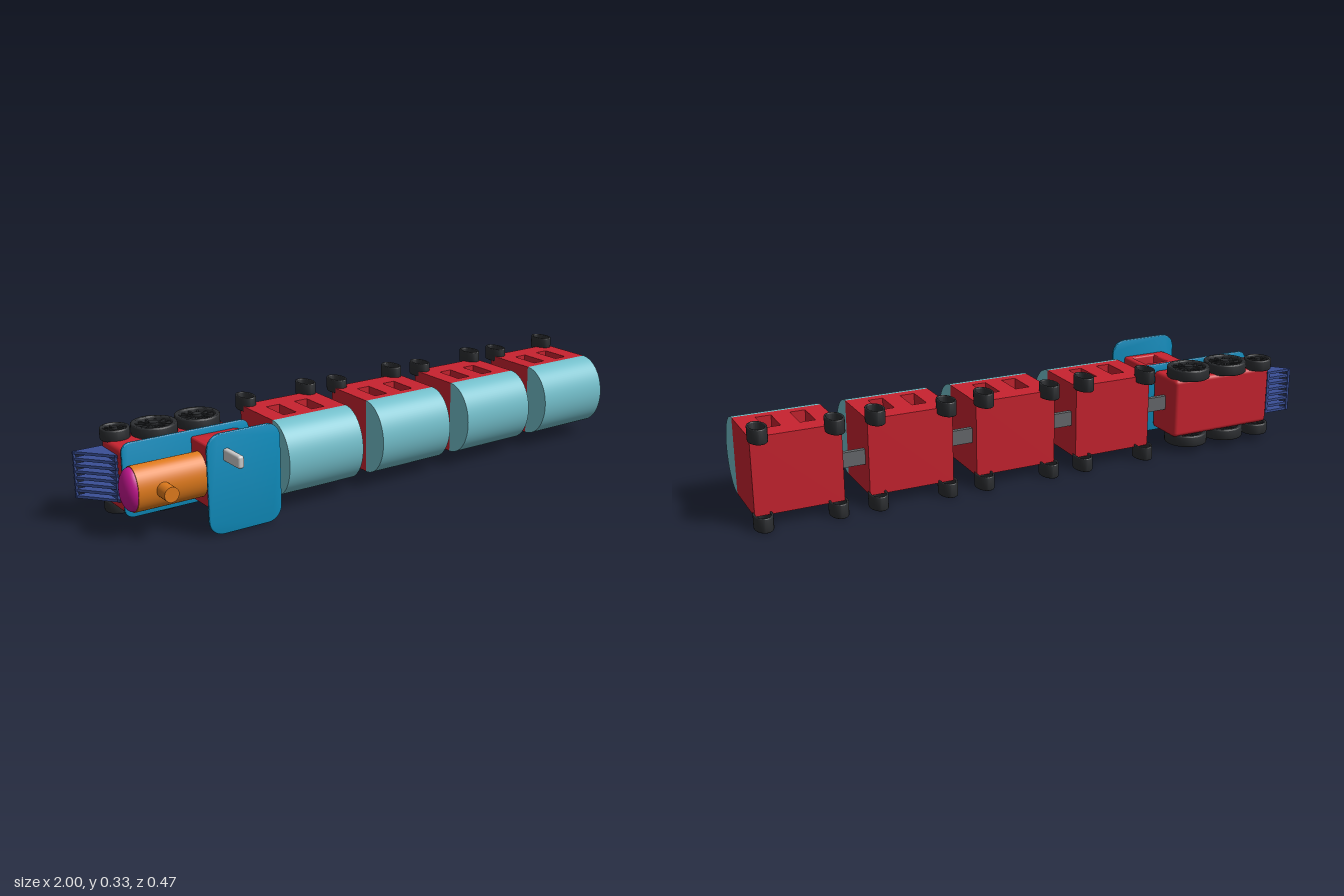
import * as THREE from 'three';
import { RoundedBoxGeometry } from 'three/addons/geometries/RoundedBoxGeometry.js';
import { toCreasedNormals } from 'three/addons/utils/BufferGeometryUtils.js';

const mat = (color) => new THREE.MeshStandardMaterial({ color });
const RED = mat(0xc8232f), TEAL = mat(0x74c0cc), BLUE = mat(0x0f8fc0), ORANGE = mat(0xdf7a1c);
const MAGENTA = mat(0xc4168f), BLACK = mat(0x2b2d30), GREY = mat(0x66696c), SILVER = mat(0xcccccc);
const NAVY = mat(0x3a4f96);

function add(parent, name, geometry, material, x = 0, y = 0, z = 0) {
  const mesh = new THREE.Mesh(geometry, material);
  mesh.name = name;
  mesh.position.set(x, y, z);
  parent.add(mesh);
  return mesh;
}

// Rectangle with optional rounded corners, as a list of outline points
function rect(Type, x0, y0, x1, y1, r = 0) {
  const s = new Type();
  if (!r) return s.moveTo(x0, y0).lineTo(x1, y0).lineTo(x1, y1).lineTo(x0, y1).closePath();
  s.absarc(x1 - r, y0 + r, r, -Math.PI / 2, 0);
  s.absarc(x1 - r, y1 - r, r, 0, Math.PI / 2);
  s.absarc(x0 + r, y1 - r, r, Math.PI / 2, Math.PI);
  s.absarc(x0 + r, y0 + r, r, Math.PI, Math.PI * 1.5);
  return s.closePath();
}

// Extrusion centred on its depth, with an edge bevel that keeps the outline size
function slab(shape, depth, bevel = 0) {
  const g = new THREE.ExtrudeGeometry(shape, {
    depth: depth - 2 * bevel, bevelEnabled: bevel > 0, bevelThickness: bevel,
    bevelSize: bevel, bevelOffset: -bevel, bevelSegments: 3, curveSegments: 16,
  });
  g.translate(0, 0, bevel - depth / 2);
  return toCreasedNormals(g, 0.6);
}

// The same, with the outline drawn in x and z and the depth along y
const slabY = (shape, depth, bevel) => slab(shape, depth, bevel).rotateX(Math.PI / 2);

// Open oval wheel
function ovalWheel() {
  const s = new THREE.Shape().absellipse(0, 0, 0.03, 0.045, 0, Math.PI * 2);
  s.holes.push(new THREE.Path().absellipse(0, 0, 0.023, 0.037, 0, Math.PI * 2));
  return slabY(s, 0.048, 0.003);
}

function makeWagon(x0) {
  const wagon = new THREE.Group();
  wagon.name = 'wagon';
  wagon.position.x = x0;
  // Body with two windows cut right through
  const side = rect(THREE.Shape, 0, -0.176, 0.287, 0.03);
  for (const x of [0.06, 0.17]) side.holes.push(rect(THREE.Path, x, -0.107, x + 0.05, 0));
  add(wagon, 'wagonBody', slabY(side, 0.255), RED, 0, 0.169, 0);
  // Domed roof
  const roof = new THREE.CylinderGeometry(1, 1, 0.287, 48, 1, false, -Math.PI / 2, Math.PI);
  roof.rotateZ(Math.PI / 2).scale(1, 0.1275, 0.102);
  add(wagon, 'wagonRoof', roof, TEAL, 0.1435, 0.169, 0.03);
  // Wheels
  for (const [x, top] of [[0.024, 0.302], [0.263, 0.31]])
    for (const y of [top, 0.027]) add(wagon, 'wagonWheel', ovalWheel(), BLACK, x, y, -0.182);
  return wagon;
}

// Spoked wheel with its axle along y
function makeSpokedWheel(r, width) {
  const wheel = new THREE.Group();
  wheel.name = 'engineWheel';
  const rim = new THREE.Shape().absarc(0, 0, r, 0, Math.PI * 2);
  rim.holes.push(new THREE.Path().absarc(0, 0, r * 0.78, 0, Math.PI * 2));
  add(wheel, 'rim', slabY(rim, width, 0.005), BLACK);
  add(wheel, 'hub', new THREE.CylinderGeometry(r * 0.22, r * 0.22, width, 20), BLACK);
  for (let i = 0; i < 6; i++) {
    const bar = new THREE.BoxGeometry(r * 1.6, width * 0.6, r * 0.08);
    add(wheel, 'spokePair', bar, BLACK).rotation.y = (i * Math.PI) / 6;
  }
  return wheel;
}

function makeEngine() {
  const engine = new THREE.Group();
  engine.name = 'engine';
  const cy = 0.164;
  add(engine, 'chassis', new RoundedBoxGeometry(0.4, 0.21, 0.145, 3, 0.015), RED, -0.7, cy, -0.1325);
  add(engine, 'deck', slab(rect(THREE.Shape, -0.9, 0.043, -0.45, 0.29, 0.03), 0.01, 0.003), BLUE, 0, 0, -0.055);

  // Cab with a large side window and a small one ahead of it
  const cab = rect(THREE.Shape, -0.665, -0.052, -0.495, 0.137, 0.012);
  cab.holes.push(rect(THREE.Path, -0.61, 0.025, -0.52, 0.11));
  cab.holes.push(rect(THREE.Path, -0.657, 0.07, -0.617, 0.11));
  add(engine, 'cab', slabY(cab, 0.21, 0.006), RED, 0, cy, 0);
  add(engine, 'cabRoof', slab(rect(THREE.Shape, -0.71, 0.002, -0.45, 0.332, 0.05), 0.01, 0.003), BLUE, 0, 0, 0.141);
  add(engine, 'whistle', new RoundedBoxGeometry(0.022, 0.041, 0.1, 4, 0.008), SILVER, -0.643, 0.261, 0.188);

  // Oval boiler, rounded nose and chimney
  const boiler = new THREE.CylinderGeometry(1, 1, 0.24, 48).rotateZ(Math.PI / 2).scale(1, 0.075, 0.055);
  add(engine, 'boiler', boiler, ORANGE, -0.78, 0.16, 0.005);
  const nose = new THREE.SphereGeometry(1, 40, 12, 0, Math.PI * 2, 0, Math.PI / 2);
  nose.rotateZ(Math.PI / 2).scale(0.036, 0.072, 0.052);
  add(engine, 'nose', nose, MAGENTA, -0.9, 0.16, 0.005);
  const chimney = new THREE.CylinderGeometry(0.025, 0.025, 0.08, 32).rotateX(Math.PI / 2);
  add(engine, 'chimney', chimney, ORANGE, -0.816, 0.157, 0.072);

  // Cowcatcher of wedge slats joined at the tip and back
  const wedge = new THREE.Shape().moveTo(-1, -0.2).lineTo(-0.9, -0.2).lineTo(-0.9, -0.08).closePath();
  for (let i = 0; i < 8; i++)
    add(engine, 'cowcatcherSlat', slabY(wedge, 0.009), NAVY, 0, 0.094 + i * 0.021, 0);
  add(engine, 'cowcatcherTip', new THREE.BoxGeometry(0.008, 0.156, 0.008), NAVY, -0.994, 0.1675, -0.198);
  add(engine, 'cowcatcherBack', new THREE.BoxGeometry(0.008, 0.156, 0.115), NAVY, -0.903, 0.1675, -0.1425);

  // Four large and two small wheels
  for (const side of [-1, 1])
    for (const [x, z, r] of [[-0.735, -0.16, 0.075], [-0.58, -0.16, 0.075], [-0.858, -0.188, 0.048]]) {
      const wheel = makeSpokedWheel(r, 0.04);
      wheel.position.set(x, cy + side * 0.12, z);
      engine.add(wheel);
    }
  return engine;
}

export function createModel() {
  const train = new THREE.Group();
  train.name = 'train';
  train.add(makeEngine());
  for (let i = 0; i < 4; i++) {
    const x0 = -0.408 + i * 0.37;
    train.add(makeWagon(x0));
    add(train, 'coupling', new THREE.BoxGeometry(0.11, 0.05, 0.016), GREY, x0 - 0.045, i === 3 ? 0.162 : 0.173, -0.136);
  }
  return train;
}
